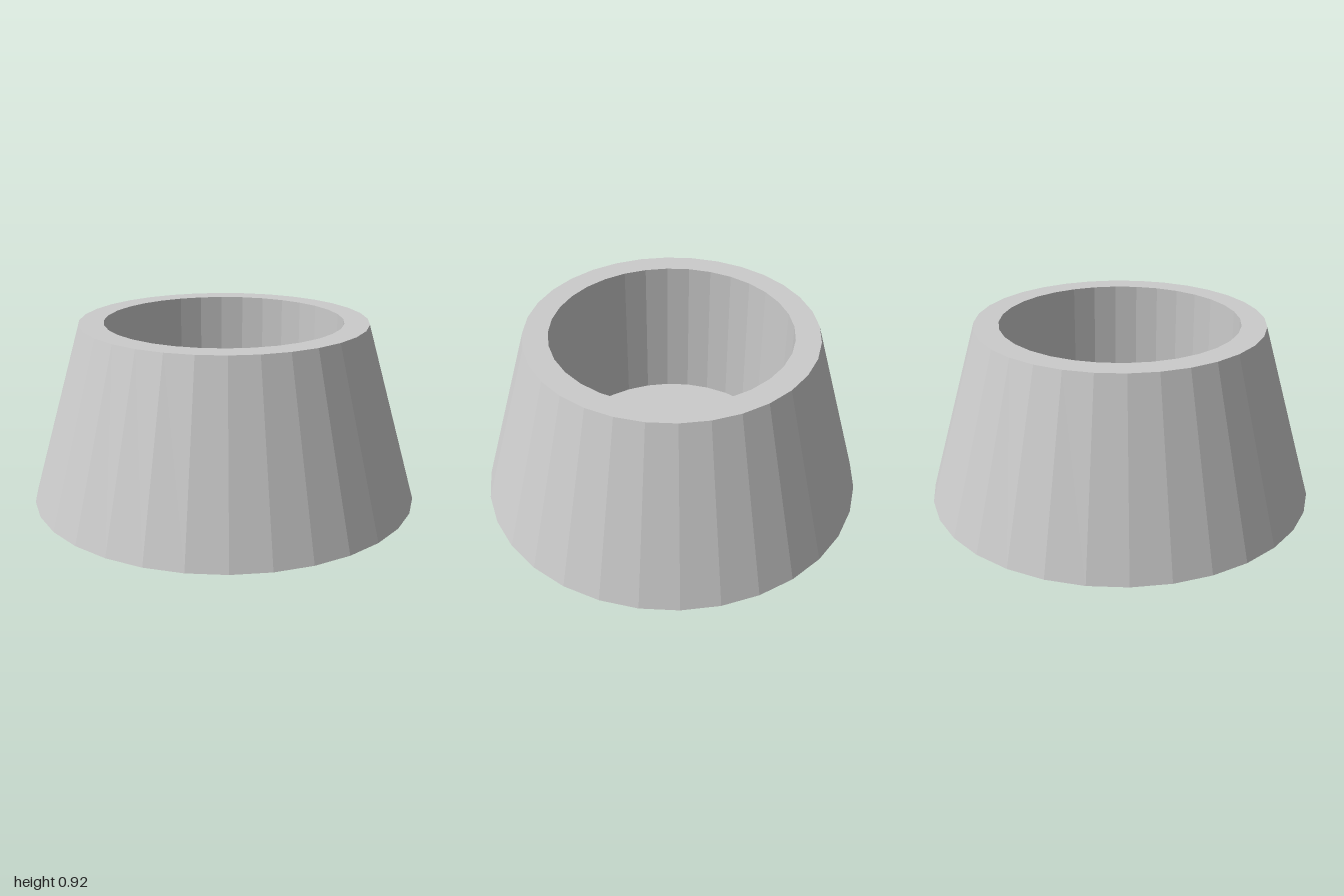
import * as THREE from 'three';

export function createModel() {
  const group = new THREE.Group();
  group.name = 'taperedBowl';
  const material = new THREE.MeshStandardMaterial({ color: 0xcccccc, flatShading: true });

  // Closed profile: underside, sloping outer wall, flat rim, straight bore, floor
  const profile = [
    [0, 0], [1, 0], [0.737, 0.917], [0.611, 0.917], [0.611, 0.13], [0, 0.13],
  ].map(([r, y]) => new THREE.Vector2(r, y));

  const bowl = new THREE.Mesh(new THREE.LatheGeometry(profile, 32), material);
  bowl.name = 'bowl';
  group.add(bowl);
  return group;
}
